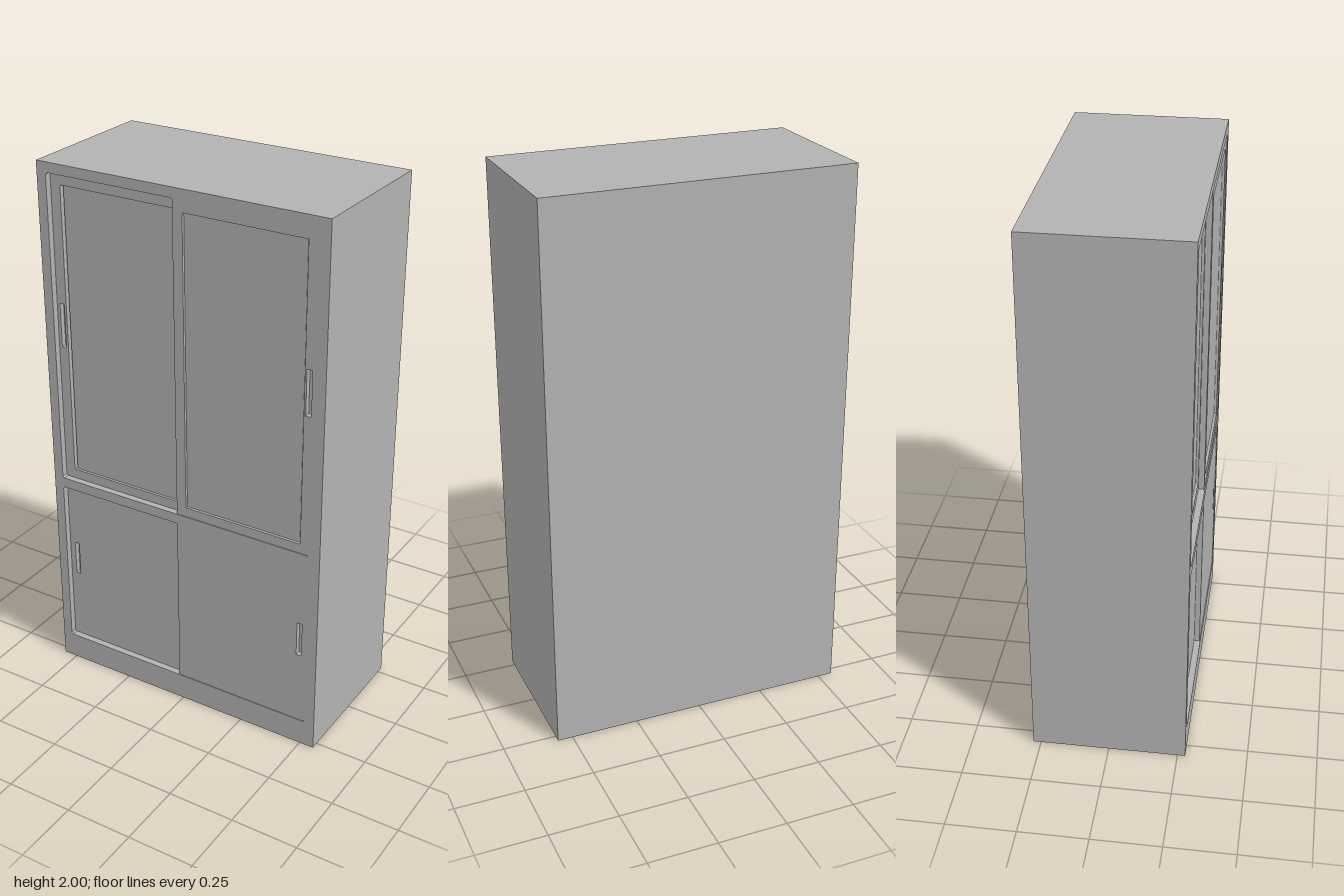
import * as THREE from 'three';

const W = 1.11, H = 2, D = 0.556, FRONT = D / 2, BACKING = 0.215;

// Rectangle with slightly cut corners, as a Shape or a hole Path
function rect(Type, [x0, x1, y0, y1], c = 0) {
  const p = new Type();
  p.moveTo(x0 + c, y0);
  p.lineTo(x1 - c, y0);
  if (c) p.lineTo(x1, y0 + c);
  p.lineTo(x1, y1 - c);
  if (c) p.lineTo(x1 - c, y1);
  p.lineTo(x0 + c, y1);
  if (c) p.lineTo(x0, y1 - c);
  p.lineTo(x0, y0 + c);
  p.closePath();
  return p;
}

export function createModel() {
  const group = new THREE.Group();
  const steel = new THREE.MeshStandardMaterial({ color: 0xb2b2b2 });
  steel.name = 'grey steel';

  function add(name, geometry, parent = group) {
    const mesh = new THREE.Mesh(geometry, steel);
    mesh.name = name;
    parent.add(mesh);
  }
  // Flat plate with rectangular holes between two depths
  function plate(name, outline, holes, z0, z1, parent, corner = 0) {
    const shape = rect(THREE.Shape, outline);
    for (const h of holes) shape.holes.push(rect(THREE.Path, h, corner));
    const g = new THREE.ExtrudeGeometry(shape, { depth: z1 - z0, bevelEnabled: false });
    add(name, g.translate(0, 0, z0), parent);
  }

  // Carcass behind the doors
  const body = new THREE.BoxGeometry(W, H, BACKING + D / 2);
  add('body', body.translate(0, H / 2, (BACKING - D / 2) / 2));

  // Face frame with the two door openings
  const upper = [-0.518, 0.516, 0.8, 1.963], lower = [-0.518, 0.516, 0.1, 0.762];
  plate('faceFrame', [-W / 2, W / 2, 0, H], [upper, lower], BACKING, FRONT, group, 0.006);

  // Sliding door: backing, pierced skin with a sunken grip, optional sunken panel
  function door(name, outline, front, grip, panel, groove) {
    const g = new THREE.Group();
    g.name = name;
    group.add(g);
    const skin = front - 0.02;
    plate('doorBacking', outline, [], BACKING, skin, g);
    plate('doorSkin', outline, panel ? [grip, panel] : [grip], skin, front, g);
    if (panel) {
      // the panel leaves a narrow groove along its outer edge
      const [x0, x1, y0, y1] = panel;
      const inset = groove < 0 ? [x0 + 0.006, x1, y0, y1] : [x0, x1 - 0.006, y0, y1];
      plate('doorPanel', inset, [], skin, front - 0.01, g);
    }
  }

  const rear = 0.254, fore = FRONT - 0.003, split = -0.018;
  const [l, r] = upper;
  door('upperRightDoor', [l, split + 0.01, 0.8, 1.963], rear,
    [-0.506, -0.488, 1.322, 1.488], [-0.479, -0.03, 0.836, 1.92], -1);
  door('upperLeftDoor', [split, r, 0.8, 1.963], fore,
    [0.484, 0.504, 1.322, 1.488], [0.02, 0.477, 0.836, 1.92], 1);
  door('lowerRightDoor', [l, split + 0.01, 0.1, 0.762], rear, [-0.496, -0.478, 0.38, 0.514]);
  door('lowerLeftDoor', [split, r, 0.1, 0.762], fore, [0.474, 0.494, 0.38, 0.514]);

  return group;
}
